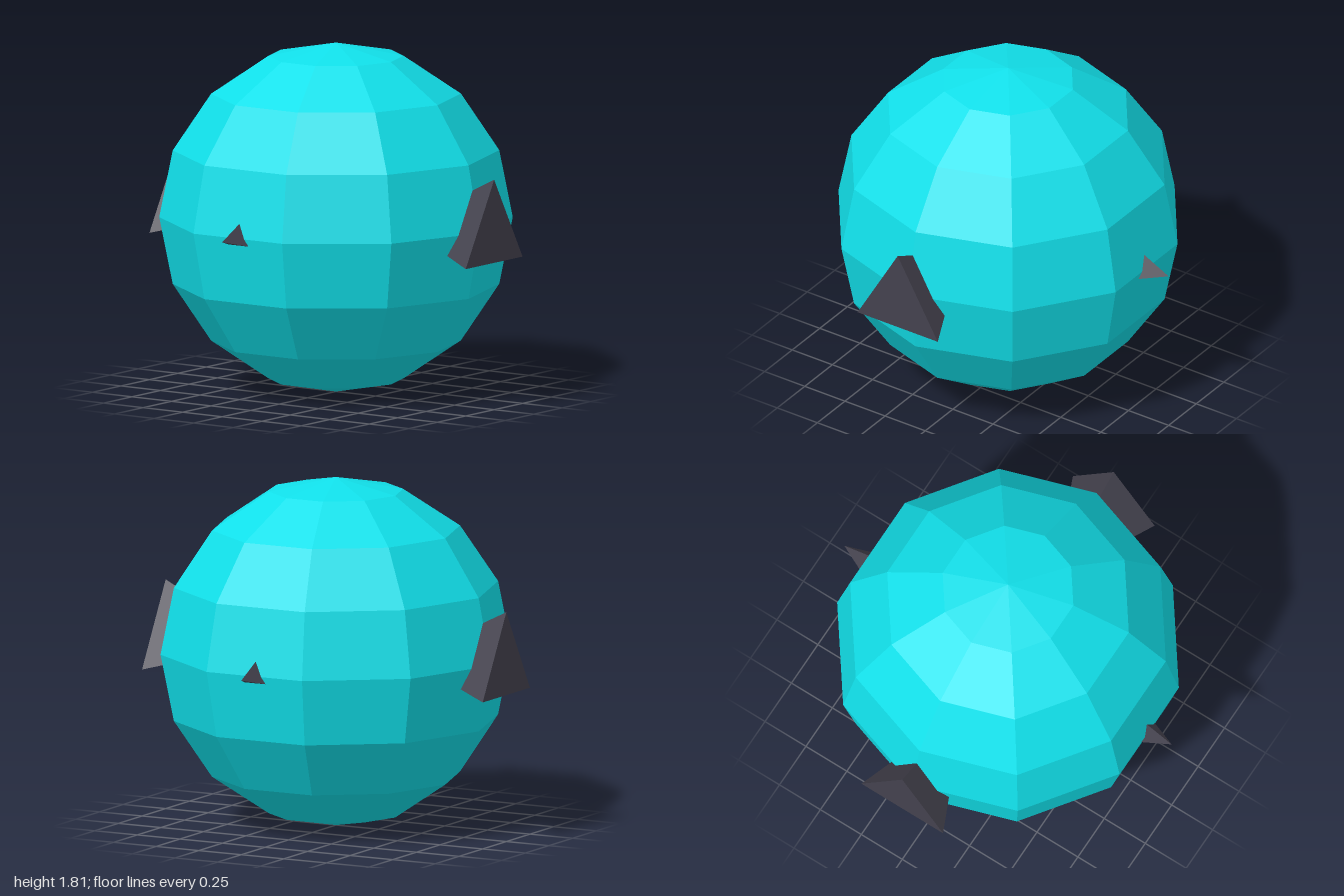
import * as THREE from 'three';

export function createModel() {
  const model = new THREE.Group();
  const R = 0.907, midY = 0.91;
  const shellMat = new THREE.MeshStandardMaterial({ color: 0x11e0ea, flatShading: true });
  const spikeMat = new THREE.MeshStandardMaterial({ color: 0x44424e, flatShading: true });

  // Faceted ball with a vertex column facing front and back
  const ball = new THREE.SphereGeometry(R, 10, 8);
  ball.rotateY(Math.PI / 2);
  const body = new THREE.Mesh(ball, shellMat);
  body.name = 'body';
  body.position.y = midY;
  model.add(body);

  // Three-sided pyramid, one corner up, tip towards -z
  const r = 0.288;
  const pyramid = new THREE.ConeGeometry(r, 2 * r, 3);
  pyramid.rotateX(-Math.PI / 2);

  const addPyramid = (name, x, z, turn) => {
    const mesh = new THREE.Mesh(pyramid, spikeMat);
    mesh.name = name;
    mesh.position.set(x, midY, z);
    mesh.rotation.y = turn;
    model.add(mesh);
  };

  // Front and back: tip sunk into the ball, flat base outwards
  const d = 1 - r;
  addPyramid('frontSnout', 0, d, 0);
  addPyramid('backSnout', 0, -d, Math.PI);
  // Sides: only the tip pokes out of the ball
  addPyramid('leftSpike', d, 0, -Math.PI / 2);
  addPyramid('rightSpike', -d, 0, Math.PI / 2);

  return model;
}
